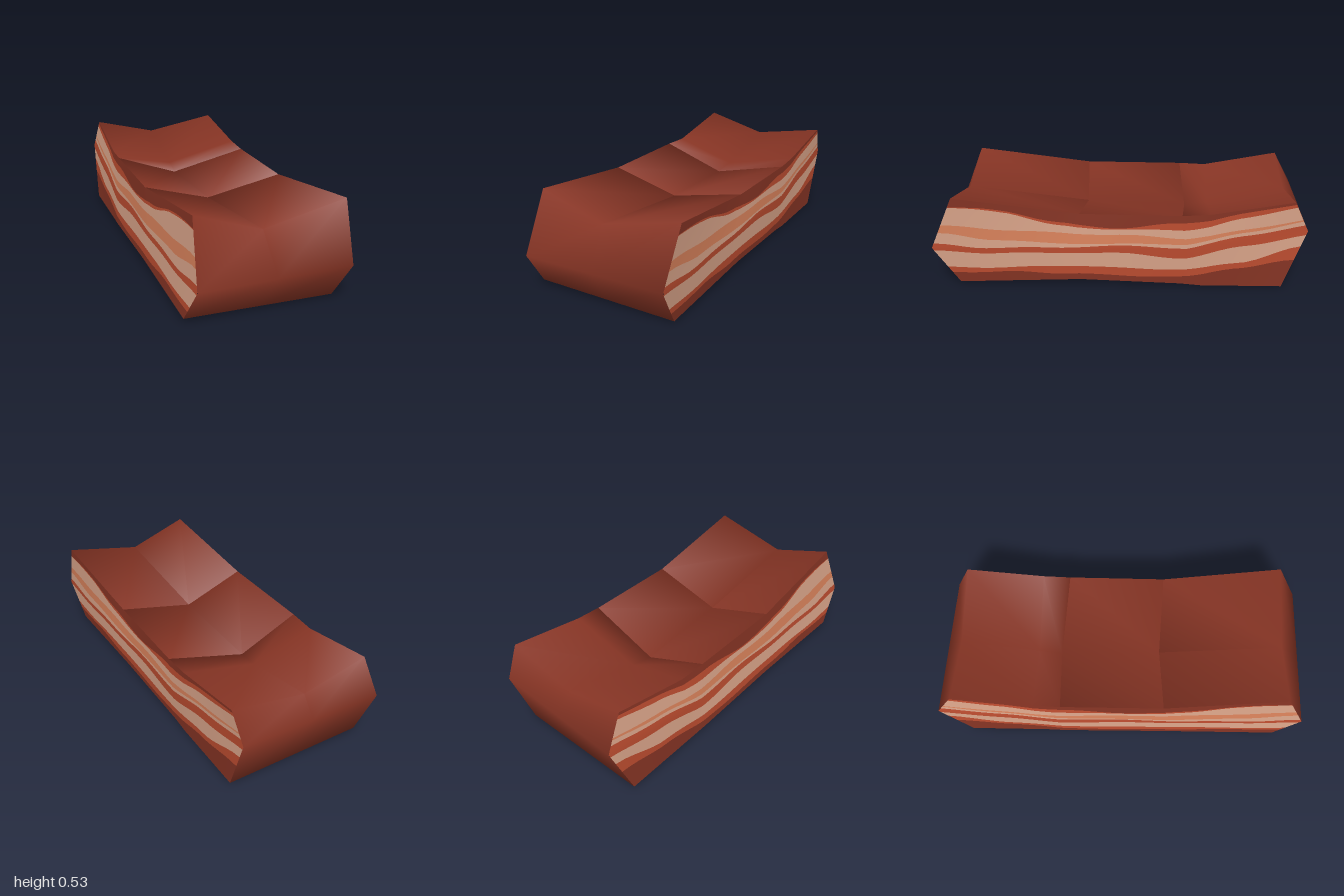
import * as THREE from 'three';
import { toCreasedNormals } from 'three/addons/utils/BufferGeometryUtils.js';

const mat = (name, color) => {
  const m = new THREE.MeshStandardMaterial({ color });
  m.name = name;
  return m;
};

// Cross-sections from front to back, each with bottom, middle and top points
const STATION_Z = [0.95, 0.22, -0.32, -0.45, -0.95];
const RIGHT = [
  [[0.365, 0.01, 0.87], [0.39, 0.22, 1], [0.41, 0.51, 0.87]],
  [[0.37, 0.035, 0.22], [0.385, 0.23, 0.26], [0.38, 0.42, 0.22]],
  [[0.36, 0.01, -0.31], [0.38, 0.23, -0.34], [0.385, 0.415, -0.31]],
  [[0.36, 0, -0.42], [0.38, 0.25, -0.46], [0.385, 0.425, -0.46]],
  [[0.36, 0, -0.85], [0.37, 0.33, -0.96], [0.385, 0.495, -0.88]],
];
const LEFT = [
  [[-0.405, 0.028, 0.87], [-0.385, 0.22, 1], [-0.36, 0.53, 0.87]],
  [[-0.41, 0.04, 0.22], [-0.4, 0.23, 0.26], [-0.385, 0.44, 0.22]],
  [[-0.41, 0.02, -0.33], [-0.4, 0.23, -0.35], [-0.385, 0.435, -0.33]],
  [[-0.405, 0.012, -0.43], [-0.4, 0.25, -0.47], [-0.38, 0.43, -0.48]],
  [[-0.405, 0.012, -0.87], [-0.39, 0.33, -1], [-0.37, 0.51, -0.9]],
];
// Valley line along the middle of the top
const VALLEY = [
  [-0.02, 0.415, 0.87], [-0.03, 0.33, 0.2], [-0.04, 0.305, -0.345], [-0.03, 0.325, -0.47], [-0.02, 0.422, -0.89],
];
const mix = (a, b, t) => a.map((n, i) => n + (b[i] - n) * t);
const MIDDLE = VALLEY.map((top, i) => [
  mix(LEFT[i][0], RIGHT[i][0], 0.5), mix(LEFT[i][1], RIGHT[i][1], 0.5), top,
]);

// Surface through a grid of points; flip reverses the facing
function gridGeometry(rows, flip, crease) {
  const w = rows[0].length;
  const index = [];
  for (let i = 0; i < rows.length - 1; i++) {
    for (let j = 0; j < w - 1; j++) {
      const a = i * w + j, b = a + w, c = b + 1, d = a + 1;
      if (flip) index.push(a, d, c, a, c, b);
      else index.push(a, b, c, a, c, d);
    }
  }
  const g = new THREE.BufferGeometry();
  g.setAttribute('position', new THREE.Float32BufferAttribute(rows.flat(2), 3));
  g.setIndex(index);
  return toCreasedNormals(g, crease);
}

// Closed outline of one block: front, over the top, back, under the bottom
function outline(col, from, to) {
  const block = col.slice(from, to + 1);
  const tops = block.map((s) => s[2]);
  const bottoms = block.map((s) => s[0]).reverse();
  return [col[from][1], ...tops, col[to][1], ...bottoms, col[from][1]];
}

// Point on a cut side: z is the nominal depth, v runs from bottom (0) to top (1)
function sidePoint(col, z, v) {
  let i = 0;
  while (i < STATION_Z.length - 2 && z < STATION_Z[i + 1]) i++;
  const t = (STATION_Z[i] - z) / (STATION_Z[i] - STATION_Z[i + 1]);
  const [b, m, top] = [0, 1, 2].map((k) => mix(col[i][k], col[i + 1][k], t));
  return v < 0.5 ? mix(b, m, v * 2) : mix(m, top, v * 2 - 1);
}

// Wavy edges between the layers, sampled front to back
const EDGES = [
  [0, 0, 0, 0, 0, 0, 0],
  [0.14, 0.14, 0.1, 0.08, 0.1, 0.2, 0.24],
  [0.22, 0.2, 0.22, 0.2, 0.2, 0.26, 0.36],
  [0.46, 0.42, 0.42, 0.42, 0.36, 0.44, 0.46],
  [0.54, 0.5, 0.5, 0.53, 0.5, 0.57, 0.6],
  [0.65, 0.6, 0.56, 0.56, 0.56, 0.62, 0.67],
  [0.73, 0.72, 0.71, 0.7, 0.65, 0.67, 0.7],
  [0.91, 0.92, 0.81, 0.78, 0.78, 0.86, 0.92],
  [0.92, 0.935, 0.85, 0.8, 0.89, 0.94, 0.97],
  [1, 1, 1, 1, 1, 1, 1],
];
function edgeAt(k, z) {
  const f = ((0.95 - z) / 1.9) * 6;
  const i = Math.min(5, Math.floor(f));
  const t = THREE.MathUtils.smoothstep(f - i, 0, 1);
  const wave = k === 0 || k === EDGES.length - 1 ? 0 : 0.008 * Math.sin(z * 13 + k * 0.5);
  return EDGES[k][i] + (EDGES[k][i + 1] - EDGES[k][i]) * t + wave;
}

export function createModel() {
  const group = new THREE.Group();
  group.name = 'meatSlab';
  const brown = mat('brown crust', 0x863424);
  const red = mat('red meat', 0xbe4d30);
  const cream = mat('pale fat', 0xdba58a);
  const salmon = mat('pink fat', 0xdb835c);
  const add = (name, geometry, material) => {
    const mesh = new THREE.Mesh(geometry, material);
    mesh.name = name;
    group.add(mesh);
  };

  // Crust in three softly rounded blocks that meet in sharp creases
  for (const [name, from, to] of [['frontCrust', 0, 1], ['middleCrust', 1, 2], ['backCrust', 2, 4]]) {
    const rows = [LEFT, MIDDLE, RIGHT].map((col) => outline(col, from, to));
    add(name, gridGeometry(rows, false, 2), brown);
  }

  // Depth samples, including every crease
  const depths = [];
  for (let i = 0; i < STATION_Z.length - 1; i++) {
    const n = Math.ceil((STATION_Z[i] - STATION_Z[i + 1]) / 0.06);
    for (let j = 0; j < n; j++) depths.push(STATION_Z[i] + ((STATION_Z[i + 1] - STATION_Z[i]) * j) / n);
  }
  depths.push(-0.95);

  // Layered stripes on both cut sides
  const layers = [
    ['lowerCrustLayer', brown], ['lowerMeatLayer', red], ['lowerFatLayer', cream],
    ['middleMeatLayer', red], ['middleFatLayer', cream], ['pinkFatLayer', salmon],
    ['upperFatLayer', cream], ['upperMeatLayer', red], ['upperCrustLayer', brown],
  ];
  for (const [side, col, flip] of [['left', RIGHT, false], ['right', LEFT, true]]) {
    layers.forEach(([name, material], k) => {
      const rows = depths.map((z) => {
        const lo = edgeAt(k, z), hi = edgeAt(k + 1, z);
        return [0, 0.25, 0.5, 0.75, 1].map((t) => sidePoint(col, z, lo + (hi - lo) * t));
      });
      add(`${side} ${name}`, gridGeometry(rows, flip, 0.6), material);
    });
  }
  return group;
}
